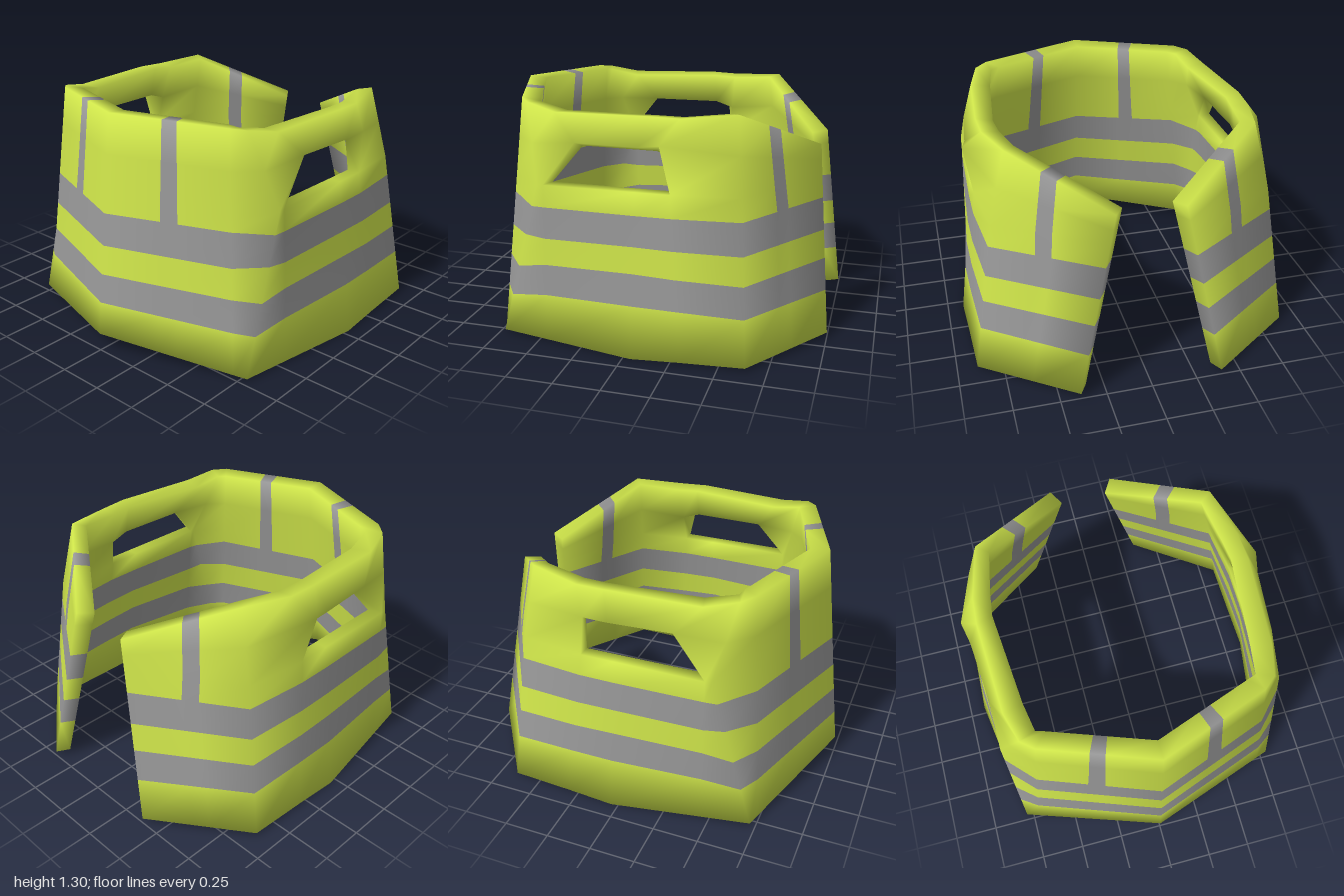
import * as THREE from 'three';

// Half of the vest, from front centre round to the back opening.
// Outer and inner faces each run bottom, [armpit height], [armhole top], rim.
// bands: heights of the tape edges.
const STATIONS = {
  frontCentre: {
    outer: { bottom: [0, 0.1, 1], rim: [0, 1.3, 0.86] },
    inner: { bottom: [0, 0.11, 0.94], rim: [0, 1.29, 0.755] },
    bands: [0.28, 0.44, 0.6, 0.775],
  },
  frontPanelEdge: {
    outer: { bottom: [0.72, 0.022, 0.745], rim: [0.6, 1.285, 0.64] },
    inner: { bottom: [0.69, 0.027, 0.69], rim: [0.53, 1.275, 0.563] },
    bands: [0.25, 0.425, 0.59, 0.775],
  },
  frontCorner: {
    outer: { bottom: [0.79, 0.015, 0.72], mid: [0.8, 0.87, 0.49], rim: [0.67, 1.275, 0.58] },
    inner: { bottom: [0.74, 0.02, 0.67], mid: [0.72, 0.87, 0.45], rim: [0.58, 1.265, 0.545] },
    bands: [0.235, 0.405, 0.59, 0.75],
  },
  holeFront: {
    outer: { bottom: [0.833, 0.01, 0.45], mid: [0.8, 0.87, 0.455], upper: [0.785, 1.1, 0.28], rim: [0.72, 1.24, 0.41] },
    inner: { bottom: [0.785, 0.015, 0.42], mid: [0.725, 0.87, 0.43], upper: [0.69, 1.065, 0.27], rim: [0.61, 1.23, 0.38] },
    bands: [0.265, 0.435, 0.58, 0.75],
  },
  side: {
    outer: { bottom: [0.91, 0, -0.04], mid: [0.8, 0.87, -0.04], upper: [0.815, 1.105, -0.06], rim: [0.75, 1.25, -0.1] },
    inner: { bottom: [0.86, 0.005, -0.04], mid: [0.73, 0.87, -0.04], upper: [0.7, 1.065, -0.13], rim: [0.66, 1.24, -0.13] },
    bands: [0.28, 0.45, 0.59, 0.75],
  },
  holeBack: {
    outer: { bottom: [0.9, 0.01, -0.3], mid: [0.8, 0.87, -0.225], upper: [0.84, 1.125, -0.18], rim: [0.74, 1.245, -0.26] },
    inner: { bottom: [0.85, 0.012, -0.29], mid: [0.73, 0.87, -0.225], upper: [0.7, 1.03, -0.235], rim: [0.645, 1.235, -0.26] },
    bands: [0.275, 0.44, 0.585, 0.75],
  },
  backCorner: {
    outer: { bottom: [0.89, 0.02, -0.64], mid: [0.76, 0.87, -0.58], rim: [0.665, 1.265, -0.54] },
    inner: { bottom: [0.84, 0.022, -0.6], mid: [0.69, 0.87, -0.525], rim: [0.6, 1.255, -0.49] },
    bands: [0.265, 0.43, 0.58, 0.75],
  },
  backEnd: {
    outer: { bottom: [0.39, 0.03, -1], rim: [0.18, 1.03, -0.9] },
    inner: { bottom: [0.35, 0.03, -0.93], rim: [0.13, 1.02, -0.82] },
    bands: [0.26, 0.43, 0.58, 0.75],
  },
};
const ROWS = 8;
const vec = (a) => new THREE.Vector3(...a);
const atHeight = (a, b, y) => a.clone().lerp(b, (y - a.y) / (b.y - a.y));

// One column of points up one face of the cloth
function column(face, bands) {
  const lo = vec(face.bottom), hi = vec(face.rim);
  const mid = face.mid ? vec(face.mid) : atHeight(lo, hi, 0.87);
  const upper = face.upper ? vec(face.upper) : mid.clone().lerp(hi, 0.5);
  return [lo, ...bands.map((y) => atHeight(lo, mid, y)), mid, upper, hi];
}

// A station between two others; the share moves from k0 at the tape to k1 at the rim
const between = (a, b, k0, k1) => a.map((col, i) => col.map((p, r) => (
  p.clone().lerp(b[i][r], k0 + (k1 - k0) * Math.max(0, r - 4) / 3))));

export function createModel() {
  const s = Object.fromEntries(Object.entries(STATIONS).map(([name, v]) => (
    [name, [column(v.outer, v.bands), column(v.inner, v.bands)]])));
  const half = [
    s.frontCentre,
    between(s.frontCentre, s.frontPanelEdge, 0.45, 0.45), between(s.frontCentre, s.frontPanelEdge, 0.59, 0.575),
    s.frontPanelEdge, s.frontCorner, s.holeFront, s.side, s.holeBack, s.backCorner,
    between(s.backCorner, s.backEnd, 0.41, 0.34), between(s.backCorner, s.backEnd, 0.55, 0.48),
    s.backEnd,
  ];
  const mirrored = half.slice(1).reverse().map((st) => st.map((col) => col.map((p) => new THREE.Vector3(-p.x, p.y, p.z))));
  const ring = [...mirrored, ...half];
  const last = half.length - 1;

  const points = ring.flatMap((st) => st.flat());
  const id = (layer, [c, r]) => (c * 2 + layer) * ROWS + r;
  const normals = points.map(() => new THREE.Vector3());
  const fabricIndex = [], tapeIndex = [];

  // Adds a quad and blends its unit normal into its corners
  function quad(index, a, b, c, d) {
    index.push(a, b, c, a, c, d);
    const n = points[c].clone().sub(points[a]).cross(points[d].clone().sub(points[b])).normalize();
    for (const i of [a, b, c, d]) normals[i].add(n);
  }

  // Cell number counted from the front centre, the same on both sides
  const cellNumber = (c) => (c >= last ? c - last : last - 1 - c);
  const solid = (c, r) => {
    if (c < 0 || c >= 2 * last || r < 0 || r >= ROWS - 1) return false;
    const n = cellNumber(c);
    return !(r === 5 && (n === 5 || n === 6)); // armhole
  };
  const isTape = (c, r) => {
    const n = cellNumber(c);
    return r === 1 || r === 3 || (r >= 4 && (n === 1 || n === 9));
  };

  for (let c = 0; c < 2 * last; c++) {
    for (let r = 0; r < ROWS - 1; r++) {
      if (!solid(c, r)) continue;
      const index = isTape(c, r) ? tapeIndex : fabricIndex;
      const p = [[c, r], [c + 1, r], [c + 1, r + 1], [c, r + 1]];
      quad(index, ...p.map((q) => id(0, q)));
      quad(index, ...p.map((q) => id(1, q)).reverse());
      // Close the hems, armhole edges and back opening
      [[0, -1], [1, 0], [0, 1], [-1, 0]].forEach(([dc, dr], i) => {
        if (solid(c + dc, r + dr)) return;
        const from = p[i], to = p[(i + 1) % 4];
        quad(index, id(0, to), id(0, from), id(1, from), id(1, to));
      });
    }
  }

  const position = new THREE.Float32BufferAttribute(points.flatMap((p) => p.toArray()), 3);
  const normal = new THREE.Float32BufferAttribute(normals.flatMap((n) => n.normalize().toArray()), 3);

  const fabric = new THREE.MeshStandardMaterial({ color: 0xcee44a });
  fabric.name = 'limeFabric';
  const tape = new THREE.MeshStandardMaterial({ color: 0x979797 });
  tape.name = 'greyTape';

  const group = new THREE.Group();
  group.name = 'safetyVest';
  for (const [name, index, material] of [['vestFabric', fabricIndex, fabric], ['reflectiveTape', tapeIndex, tape]]) {
    const geometry = new THREE.BufferGeometry();
    geometry.setAttribute('position', position);
    geometry.setAttribute('normal', normal);
    geometry.setIndex(index);
    const mesh = new THREE.Mesh(geometry, material);
    mesh.name = name;
    group.add(mesh);
  }
  return group;
}
